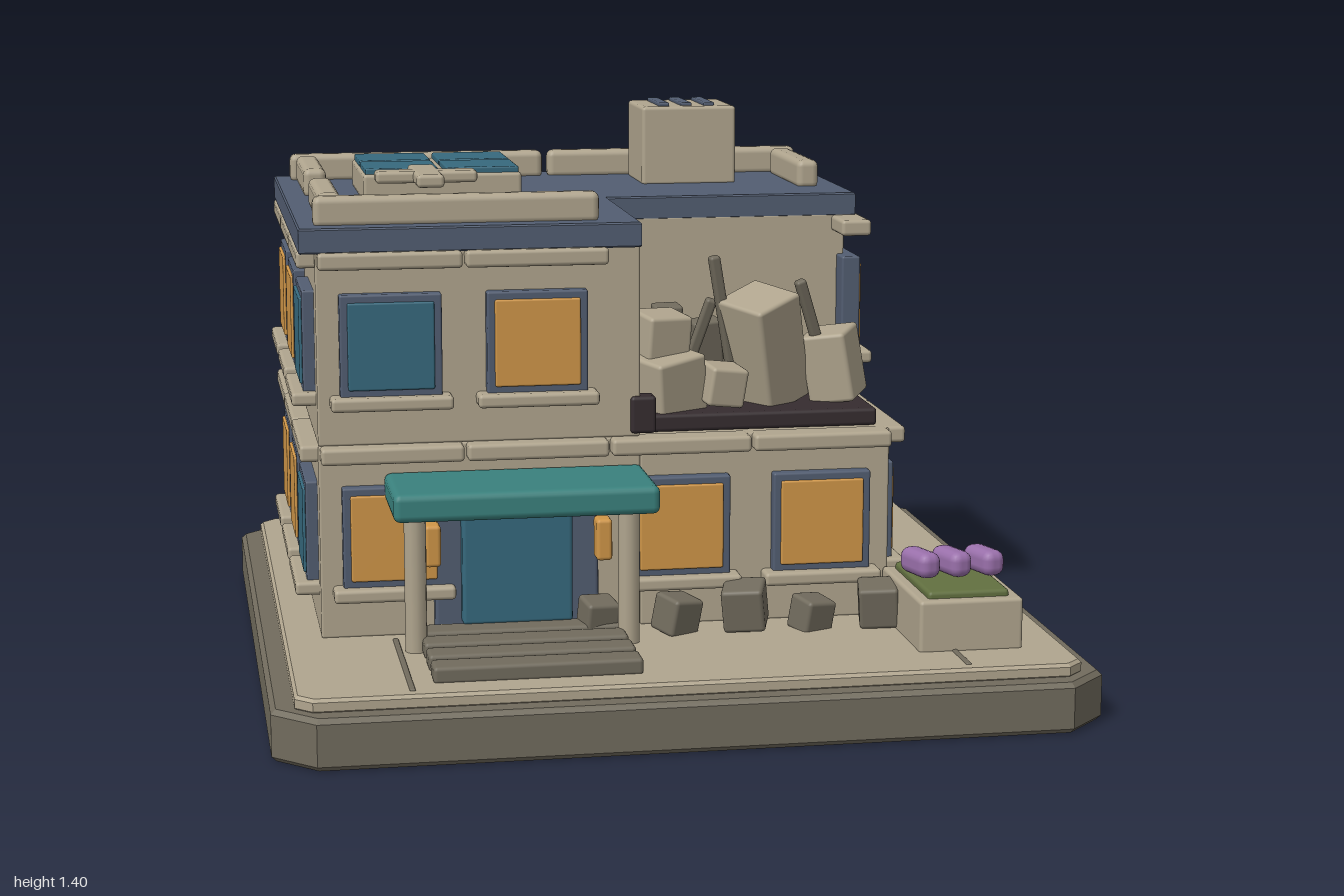
import * as THREE from 'three';
import { RoundedBoxGeometry } from 'three/addons/geometries/RoundedBoxGeometry.js';

const mat = (name, color) => {
  const m = new THREE.MeshStandardMaterial({ color });
  m.name = name;
  return m;
};

export function createModel() {
  const stone = mat('stone', 0xb0a58e);
  const dark = mat('darkStone', 0x716b5d);
  const navy = mat('slateBlue', 0x525d71);
  const amber = mat('amberGlass', 0xcf9648);
  const blue = mat('blueGlass', 0x36697d);
  const teal = mat('teal', 0x3a817d);
  const green = mat('leafGreen', 0x627040);
  const purple = mat('blossomPurple', 0x9a70ab);
  const char = mat('charred', 0x352c2f);

  const model = new THREE.Group();
  model.name = 'damagedClinic';

  // Bevelled box from centre and size
  const box = (parent, name, m, [x, y, z], [w, h, d], rot = [0, 0, 0], r = 0.01) => {
    const radius = Math.min(r, Math.min(w, h, d) * 0.4);
    const mesh = new THREE.Mesh(new RoundedBoxGeometry(w, h, d, 2, radius), m);
    mesh.name = name;
    mesh.position.set(x, y, z);
    mesh.rotation.set(...rot);
    parent.add(mesh);
    return mesh;
  };
  // Bevelled box from its limits
  const span = (parent, name, m, x0, x1, y0, y1, z0, z1, r) =>
    box(parent, name, m, [(x0 + x1) / 2, (y0 + y1) / 2, (z0 + z1) / 2], [x1 - x0, y1 - y0, z1 - z0], [0, 0, 0], r);

  // Horizontal slab from (x, z) outline points, with an optional bevel
  const slab = (name, m, pts, y0, y1, bevel) => {
    const shape = new THREE.Shape(pts.map(([x, z]) => new THREE.Vector2(x, -z)));
    const geo = new THREE.ExtrudeGeometry(shape, {
      depth: y1 - y0 - 2 * bevel, bevelEnabled: bevel > 0, bevelSize: bevel,
      bevelThickness: bevel, bevelOffset: -bevel, bevelSegments: 1,
    });
    geo.rotateX(-Math.PI / 2);
    const mesh = new THREE.Mesh(geo, m);
    mesh.name = name;
    mesh.position.y = y0 + bevel;
    model.add(mesh);
  };
  const octagon = (h, c) => [
    [-h, h - c], [-h + c, h], [h - c, h], [h, h - c],
    [h, -h + c], [h - c, -h], [-h + c, -h], [-h, -h + c],
  ];

  // Plinth and paving
  slab('plinth', dark, octagon(1, 0.1), 0, 0.125, 0.012);
  slab('paving', stone, octagon(0.945, 0.04), 0.12, 0.157, 0.008);
  span(model, 'pavingJoint', dark, -0.678, -0.664, 0.15, 0.161, 0.45, 0.91);
  span(model, 'pavingJoint', dark, 0.657, 0.671, 0.15, 0.161, 0.45, 0.91);

  // Wall blocks: four below, three above around the collapsed corner
  const X = [-0.85, -0.05, 0.59], Z = [-0.73, -0.1, 0.41];
  for (let floor = 0; floor < 2; floor++)
    for (let i = 0; i < 2; i++)
      for (let j = 0; j < 2; j++) {
        if (floor && i && j) continue;
        span(model, 'wallBlock', stone, X[i], X[i + 1], floor ? 0.64 : 0.155, floor ? 1.125 : 0.64, Z[j], Z[j + 1], 0.006);
      }

  // Facade bays; A = amber glass, B = blue glass, - = cornice only, space = missing
  const facades = [
    { name: 'frontFacade', turn: 0, out: 0.57, step: 0.36, rows: ['A-AA', 'BA  '] },
    { name: 'leftFacade', turn: Math.PI / 2, out: 0.72, step: 0.375, rows: ['AAA', ' AB'] },
    { name: 'backFacade', turn: Math.PI, out: 0.57, step: 0.36, rows: ['BAAA', 'ABAA'] },
    { name: 'rightFacade', turn: -Math.PI / 2, out: 0.72, step: 0.375, rows: ['AAB', 'AAB'] },
  ];
  for (const { name, turn, out, step, rows } of facades) {
    const facade = new THREE.Group();
    facade.name = name;
    facade.position.set(-0.13, 0, -0.16);
    facade.rotation.y = turn;
    model.add(facade);
    rows.forEach((row, floor) => [...row].forEach((kind, i) => {
      if (kind === ' ') return;
      const u = (i - (row.length - 1) / 2) * step;
      const y = floor ? 0.89 : 0.412;
      box(facade, 'cornice', stone, [u, floor ? 1.1 : 0.62, out + 0.005], [step - 0.008, 0.042, 0.08]);
      if (kind === '-') return;
      box(facade, 'windowFrame', navy, [u, y, out + 0.005], [0.25, 0.255, 0.05], [0, 0, 0], 0.006);
      box(facade, 'windowPane', kind === 'A' ? amber : blue, [u, y, out + 0.02], [0.212, 0.216, 0.034], [0, 0, 0], 0.005);
      box(facade, 'windowSill', stone, [u, y - 0.14, out + 0.02], [0.3, 0.034, 0.08]);
    }));
  }

  // L-shaped roof
  slab('roof', navy, [[-0.89, 0.435], [-0.05, 0.435], [-0.05, -0.1], [0.62, -0.1], [0.62, -0.77], [-0.89, -0.77]], 1.118, 1.18, 0.004);

  // Parapet rails
  for (const [x0, x1, z0, z1] of [
    [-0.85, -0.145, -0.71, -0.655], [-0.13, 0.58, -0.71, -0.655], [-0.85, -0.145, 0.32, 0.375],
    [-0.835, -0.775, -0.635, -0.27], [-0.835, -0.775, -0.07, 0.3], [0.5, 0.56, -0.635, -0.27],
  ]) span(model, 'parapet', stone, x0, x1, 1.172, 1.25, z0, z1, 0.018);

  // Skylight
  span(model, 'skylightFrame', stone, -0.69, -0.275, 1.175, 1.25, -0.515, -0.11);
  for (const x of [-0.588, -0.377])
    for (const z of [-0.417, -0.21])
      box(model, 'skylightPane', blue, [x, 1.253, z], [0.19, 0.024, 0.185], [0, 0, 0], 0.005);

  // Roof cross
  span(model, 'crossBar', stone, -0.67, -0.41, 1.243, 1.274, -0.015, 0.053);
  span(model, 'crossBar', stone, -0.575, -0.505, 1.242, 1.275, -0.115, 0.155);

  // Roof vent
  span(model, 'ventHousing', stone, 0.095, 0.355, 1.175, 1.39, -0.64, -0.4);
  for (const x of [0.16, 0.222, 0.285]) box(model, 'ventSlot', navy, [x, 1.39, -0.52], [0.03, 0.018, 0.185], [0, 0, 0], 0.004);

  // Entrance: door, lamps, canopy, posts, steps
  span(model, 'doorSurround', navy, -0.57, -0.16, 0.157, 0.52, 0.4, 0.44);
  span(model, 'door', blue, -0.505, -0.23, 0.19, 0.487, 0.43, 0.475);
  for (const x of [-0.58, -0.155]) box(model, 'doorLamp', amber, [x, 0.4, 0.475], [0.04, 0.105, 0.06]);
  span(model, 'canopy', teal, -0.69, -0.045, 0.5, 0.57, 0.4, 0.68, 0.018);
  for (const x of [-0.63, -0.105]) {
    const post = new THREE.Mesh(new THREE.CylinderGeometry(0.027, 0.027, 0.36, 12), stone);
    post.name = 'canopyPost';
    post.position.set(x, 0.335, 0.565);
    model.add(post);
  }
  for (const z of [0.815, 0.708, 0.6, 0.495]) box(model, 'step', dark, [-0.367, 0.173, z], [0.5, 0.042, 0.08]);

  // Planter with blossoms
  span(model, 'planter', stone, 0.575, 0.835, 0.15, 0.283, 0.41, 0.785);
  span(model, 'planterFoliage', green, 0.602, 0.806, 0.27, 0.3, 0.435, 0.76);
  for (const x of [0.625, 0.705, 0.788]) box(model, 'blossom', purple, [x, 0.335, 0.595], [0.06, 0.065, 0.12], [0, 0.3, 0], 0.024);

  // Exposed charred floor
  span(model, 'charredFloor', char, -0.05, 0.567, 0.64, 0.685, -0.1, 0.37);
  span(model, 'charredLump', char, -0.075, -0.01, 0.648, 0.742, 0.36, 0.42);

  // Rubble on the collapsed storey: position, size, rotation
  for (const [p, s, r] of [
    [[0.04, 0.75, 0.27], [0.15, 0.15, 0.15], [0.1, 0.5, 0.08]],
    [[0.03, 0.86, 0.24], [0.12, 0.13, 0.12], [0.1, 0.3, -0.06]],
    [[-0.01, 0.73, 0.07], [0.1, 0.1, 0.1], [0.2, 0.4, 0.1]],
    [[0.18, 0.745, 0.29], [0.1, 0.1, 0.1], [0.1, 0.2, -0.15]],
    [[0.3, 0.825, 0.23], [0.15, 0.29, 0.16], [0.15, 0.6, 0.2]],
    [[0.49, 0.775, 0.21], [0.12, 0.18, 0.14], [0.1, -0.5, 0.2]],
  ]) box(model, 'wallRubble', stone, p, s, r);
  for (const [p, s, r] of [
    [[0.1, 0.79, -0.06], [0.075, 0.22, 0.06], [0.1, 0.1, 0]],
    [[0.35, 0.79, 0], [0.08, 0.23, 0.07], [-0.15, 0.3, 0.1]],
    [[0.18, 0.78, 0.075], [0.08, 0.2, 0.06], [0.12, 0.2, 0.05]],
    [[0.2, 0.88, 0.23], [0.028, 0.38, 0.028], [0.05, 0.2, 0.18]],
    [[0.43, 0.87, 0.24], [0.028, 0.28, 0.028], [0.1, 0.2, 0.32]],
    [[0.13, 0.83, 0.19], [0.028, 0.26, 0.028], [0.2, 0, -0.3]],
  ]) box(model, 'darkRubble', dark, p, s, r, 0.008);

  // Fallen stones in front of the wall
  for (const [x, y, z, s, a] of [
    [-0.17, 0.205, 0.49, 0.085, 0.2], [0.03, 0.2, 0.485, 0.09, 0.5], [0.2, 0.22, 0.5, 0.105, -0.3],
    [0.37, 0.19, 0.505, 0.085, 0.4], [0.54, 0.215, 0.515, 0.1, -0.2],
  ]) box(model, 'fallenStone', dark, [x, y, z], [s, s * 1.05, s], [0.15, a, -a * 0.4]);

  return model;
}
